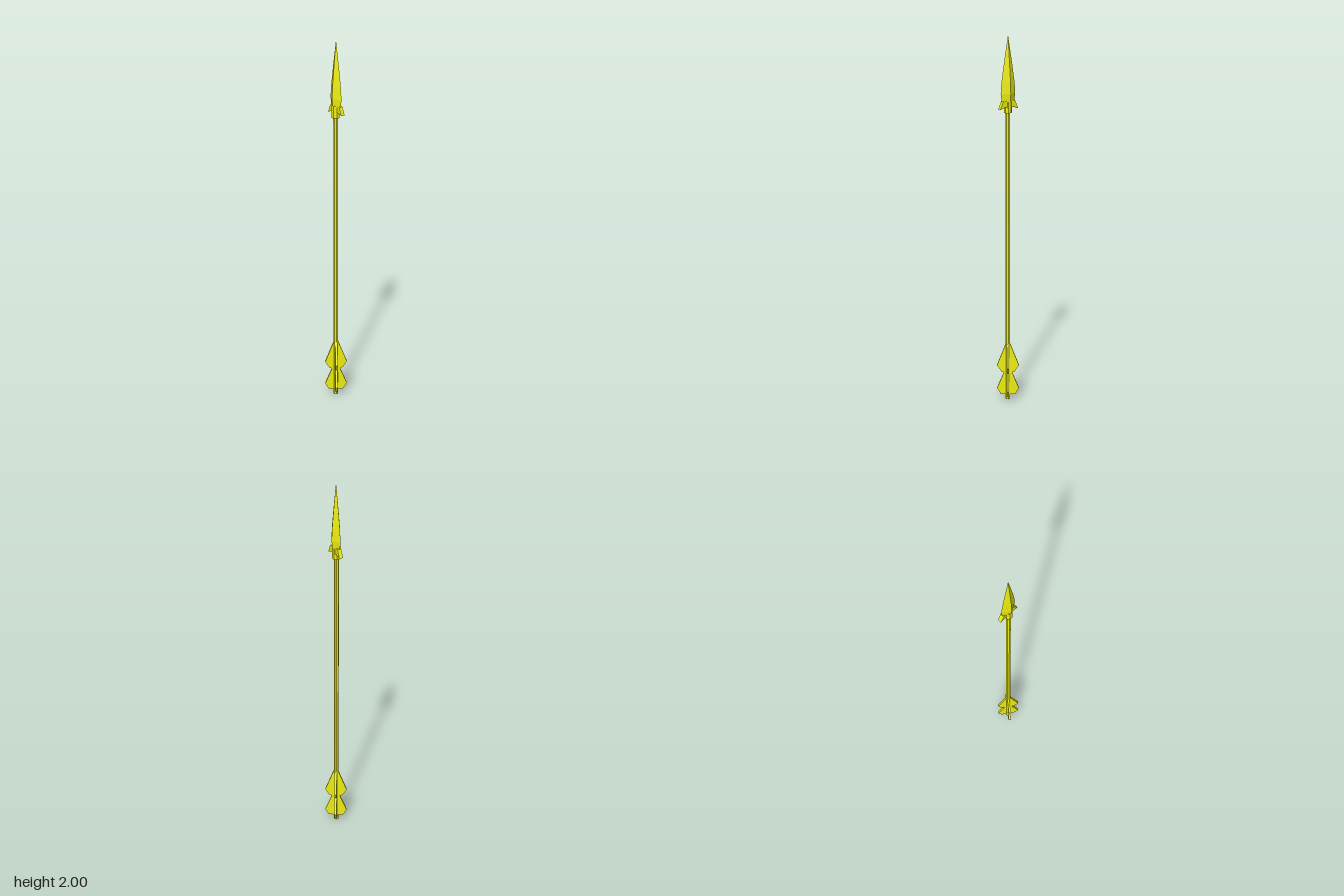
import * as THREE from 'three';

export function createModel() {
  const group = new THREE.Group();
  group.name = 'arrow';
  const yellow = new THREE.MeshStandardMaterial({ color: 0xeeee10, flatShading: true });

  const add = (name, geometry) => {
    const mesh = new THREE.Mesh(geometry, yellow);
    mesh.name = name;
    group.add(mesh);
    return mesh;
  };

  // Flat plate from an outline of [radius, height] points, centred on its thickness
  const plate = (points, thickness) => {
    const shape = new THREE.Shape(points.map(([x, y]) => new THREE.Vector2(x, y)));
    return new THREE.ExtrudeGeometry(shape, { depth: thickness, bevelEnabled: false })
      .translate(0, 0, -thickness / 2);
  };

  // Shaft
  add('shaft', new THREE.CylinderGeometry(0.013, 0.013, 1.66, 8).rotateY(Math.PI / 8).translate(0, 0.83, 0));

  // Collar joining the shaft to the head
  add('collar', new THREE.CylinderGeometry(0.021, 0.021, 0.065, 8).rotateY(Math.PI / 8).translate(0, 1.632, 0));

  // Diamond-section head, flattened front to back
  const headProfile = [[0, 1.66], [0.039, 1.66], [0.045, 1.7], [0.04, 1.76], [0.026, 1.85], [0, 2]]
    .map(([r, y]) => new THREE.Vector2(r, y));
  const head = new THREE.LatheGeometry(headProfile, 4);
  head.scale(1, 1, 0.57);
  add('arrowhead', head).position.z = -0.002;

  // Swept barbs under the head, left and right
  const barb = [[0.005, 1.625], [0.022, 1.632], [0.056, 1.62], [0.036, 1.663], [0.005, 1.663]];
  for (const [name, turn] of [['leftBarb', 0], ['rightBarb', Math.PI]]) {
    const mesh = add(name, plate(barb, 0.021));
    mesh.rotation.y = turn;
    mesh.position.z = -0.004;
  }

  // Four fletching vanes, each with two stepped lobes
  const vane = [
    [0, 0.03], [0.04, 0.03], [0.06, 0.065], [0.022, 0.158],
    [0.038, 0.165], [0.06, 0.2], [0.012, 0.325], [0, 0.325],
  ];
  for (let i = 0; i < 4; i++) {
    const mesh = add('fletchingVane' + (i + 1), plate(vane, 0.012));
    mesh.rotation.y = 0.98 + i * Math.PI / 2;
    mesh.position.z = -0.002;
  }

  return group;
}
